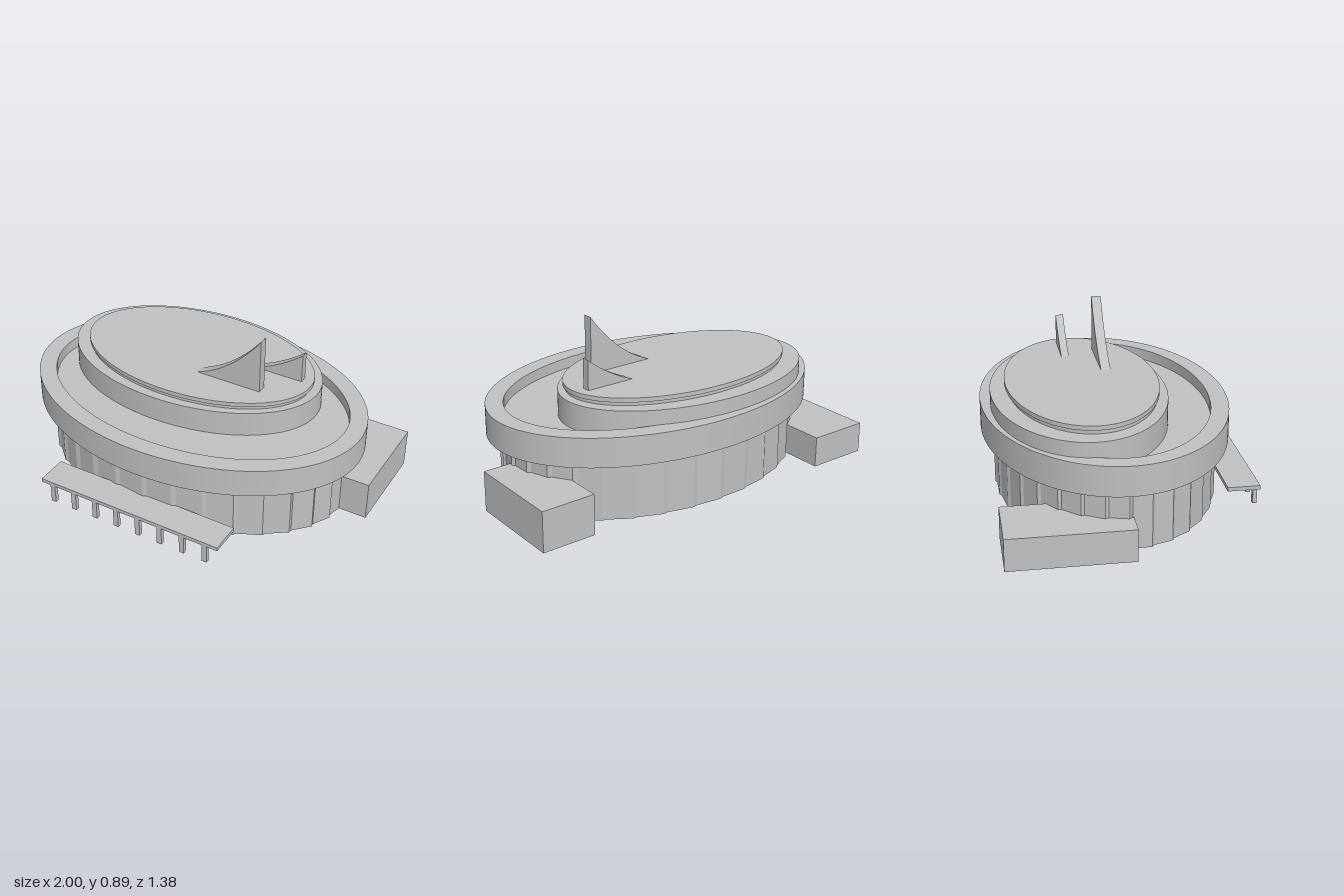
import * as THREE from 'three';

export function createModel() {
  const model = new THREE.Group();
  model.name = 'ovalArena';
  const grey = new THREE.MeshStandardMaterial({ color: 0xc0c0c0 });
  grey.name = 'plain grey';

  const add = (name, geometry, parent = model) => {
    const mesh = new THREE.Mesh(geometry, grey);
    mesh.name = name;
    parent.add(mesh);
    return mesh;
  };

  // Box given by its limits on each axis
  const box = (name, x0, x1, y0, y1, z0, z1, parent) => {
    const g = new THREE.BoxGeometry(x1 - x0, y1 - y0, z1 - z0);
    g.translate((x0 + x1) / 2, (y0 + y1) / 2, (z0 + z1) / 2);
    return add(name, g, parent);
  };

  // Solid oval drum
  const oval = (name, cx, cz, rx, rz, y0, y1) => {
    const g = new THREE.CylinderGeometry(1, 1, y1 - y0, 128);
    g.scale(rx, 1, rz);
    g.translate(cx, (y0 + y1) / 2, cz);
    return add(name, g);
  };

  // Upright extrusion of a plan shape
  const raise = (shape, y0, y1, segments) => {
    const g = new THREE.ExtrudeGeometry(shape, { depth: y1 - y0, bevelEnabled: false, curveSegments: segments });
    g.rotateX(-Math.PI / 2);
    return g.translate(0, y0, 0);
  };

  const CX = -0.015, CZ = -0.042;

  // Base wall: overlapping flat panels with a small step at each seam
  const panels = 32, plan = [];
  for (let i = 0; i < panels; i++) {
    const start = ((i + 0.14) / panels) * Math.PI * 2;
    const end = ((i + 1) / panels) * Math.PI * 2;
    for (const [a, r] of [[start, 0.985], [end, 1]]) {
      plan.push(new THREE.Vector2(CX + Math.sin(a) * 0.87 * r, -CZ - Math.cos(a) * 0.583 * r));
    }
  }
  add('panelledBase', raise(new THREE.Shape(plan), 0, 0.32, 1));

  // Overhanging rim and the roof floor inside it
  const rim = new THREE.Shape();
  rim.absellipse(CX, -CZ, 0.938, 0.648, 0, Math.PI * 2, false);
  const opening = new THREE.Path();
  opening.absellipse(CX, -CZ, 0.845, 0.553, 0, Math.PI * 2, true);
  rim.holes.push(opening);
  add('roofRim', raise(rim, 0.315, 0.47, 128));
  oval('roofFloor', CX, CZ, 0.86, 0.57, 0.317, 0.41);

  // Off-centre upper tiers
  oval('upperTier', -0.112, -0.185, 0.722, 0.455, 0.4, 0.547);
  oval('lidNeck', -0.087, -0.164, 0.65, 0.385, 0.54, 0.57);
  oval('lid', -0.085, -0.166, 0.661, 0.397, 0.568, 0.591);

  // Curved roof fins
  const fin = (name, x0, x1, top, bendX, bendY, z0, z1) => {
    const s = new THREE.Shape();
    s.moveTo(x0, 0.585);
    s.lineTo(x1, 0.585);
    s.lineTo(x1, top);
    s.quadraticCurveTo(bendX, bendY, x0, 0.59);
    const g = new THREE.ExtrudeGeometry(s, { depth: z1 - z0, bevelEnabled: false, curveSegments: 20 });
    add(name, g.translate(0, 0, z0));
  };
  fin('tallFin', 0, 0.37, 0.892, 0.2, 0.66, -0.046, 0.006);
  fin('shortFin', 0.245, 0.515, 0.75, 0.39, 0.645, -0.229, -0.187);

  // Side annexes
  box('rightAnnex', -1, -0.665, 0, 0.167, -0.645, 0.02 - 0.04);
  box('leftAnnex', 0.71, 1, 0, 0.216, -0.55, -0.02);

  // Entrance canopy on a row of posts
  const entrance = new THREE.Group();
  entrance.name = 'entrance';
  model.add(entrance);
  box('canopy', -0.545, 0.515, 0.104, 0.125, 0.52, 0.69, entrance);
  for (let i = 0; i < 8; i++) {
    const x = -0.476 + i * 0.131;
    box('canopyPost', x - 0.014, x + 0.014, 0, 0.106, 0.668, 0.69, entrance);
  }

  return model;
}
